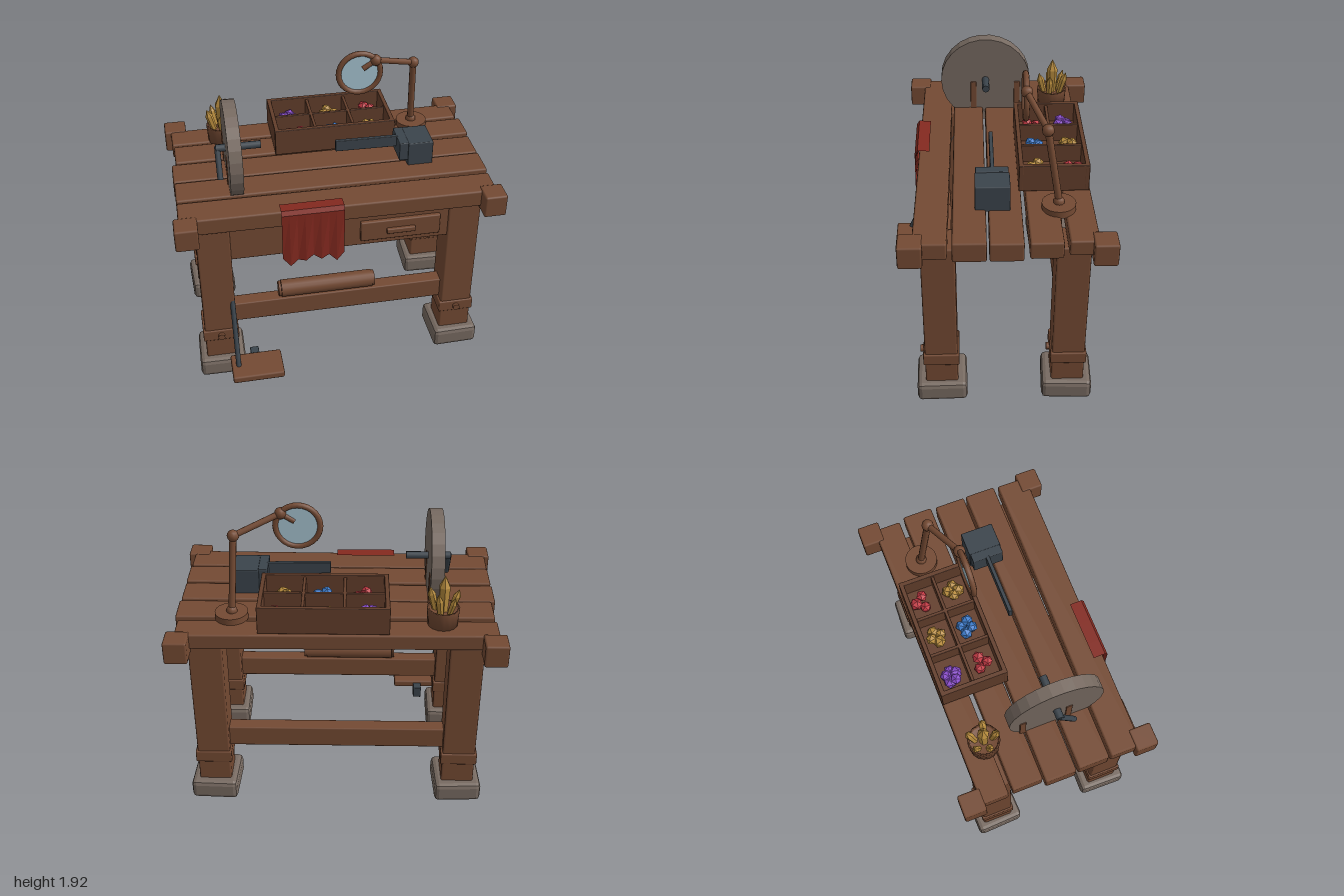
import * as THREE from 'three';
import { RoundedBoxGeometry } from 'three/addons/geometries/RoundedBoxGeometry.js';

const mat = (name, color) => {
  const m = new THREE.MeshStandardMaterial({ color });
  m.name = name;
  return m;
};

export function createModel() {
  const wood = mat('wood', 0x744a33), darkWood = mat('darkWood', 0x633e2b);
  const stone = mat('stone', 0x776a61), iron = mat('iron', 0x3b444c);
  const cloth = mat('cloth', 0x84291f), gold = mat('gold', 0xb98d3e);
  const glass = mat('glass', 0xa6c3d0), purple = mat('purpleGem', 0x8d4fcf);
  const blue = mat('blueGem', 0x3f7fd0), red = mat('redGem', 0xc33a44);
  cloth.side = THREE.DoubleSide;
  for (const m of [stone, gold, purple, blue, red, cloth]) m.flatShading = true;

  const root = new THREE.Group();
  root.name = 'workbench';
  const add = (name, geo, m, parent = root) => {
    const mesh = new THREE.Mesh(geo, m);
    mesh.name = name;
    parent.add(mesh);
    return mesh;
  };
  // Bevelled box given by its limits on each axis
  const box = (name, m, [x0, x1], [y0, y1], [z0, z1], r = 0.008, parent = root) => {
    const mesh = add(name, new RoundedBoxGeometry(x1 - x0, y1 - y0, z1 - z0, 1, r), m, parent);
    mesh.position.set((x0 + x1) / 2, (y0 + y1) / 2, (z0 + z1) / 2);
    return mesh;
  };
  // Round bar between two points
  const rod = (name, m, a, b, r, sides = 10, parent = root) => {
    const p = new THREE.Vector3(...a), q = new THREE.Vector3(...b), d = q.clone().sub(p);
    const mesh = add(name, new THREE.CylinderGeometry(r, r, d.length(), sides), m, parent);
    mesh.position.copy(p).add(q).multiplyScalar(0.5);
    mesh.quaternion.setFromUnitVectors(new THREE.Vector3(0, 1, 0), d.normalize());
    return mesh;
  };
  const ball = (name, m, p, r) => {
    add(name, new THREE.SphereGeometry(r, 10, 8), m).position.set(...p);
  };

  // Table top: five uneven planks [x0, x1, y0, y1, z0, z1, twist]
  [[-0.96, 0.95, 1.15, 1.25, -0.58, -0.41, 0.01],
   [-0.95, 0.97, 1.145, 1.255, -0.38, -0.19, 0.008],
   [-0.975, 0.965, 1.125, 1.25, -0.17, 0.025, -0.003],
   [-0.97, 0.965, 1.125, 1.255, 0.04, 0.235, -0.002],
   [-0.97, 0.96, 1.14, 1.25, 0.255, 0.45, -0.01]].forEach(([a, b, c, d, e, f, t]) => {
    box('plank', wood, [a, b], [c, d], [e, f], 0.012).rotation.y = t;
  });
  // Corner blocks, legs, bands, pegs and stone feet
  for (const s of [-1, 1]) {
    const xs = (a, b) => (s > 0 ? [a, b] : [-b, -a]);
    for (const [corner, z] of [[0.47, 0.32], [-0.62, -0.455]]) {
      box('cornerBlock', wood, xs(0.86, 1), [1.11, 1.255], [corner - 0.07, corner + 0.07], 0.012);
      box('leg', wood, xs(0.675, 0.88), [0.12, 1.15], [z - 0.1, z + 0.1], 0.012);
      box('legBand', wood, xs(0.663, 0.892), [0.27, 0.352], [z - 0.11, z + 0.11], 0.008);
      rod('peg', wood, [s * 0.777, 0.31, z + 0.1], [s * 0.777, 0.31, z + 0.13], 0.022);
      const foot = box('foot', stone, xs(0.63, 0.925), [0, 0.13], [z - 0.155, z + 0.155], 0.028);
      foot.rotation.y = s * (z > 0 ? 0.02 : -0.04);
    }
  }

  // Front apron, drawer and stretchers
  box('apron', wood, [-0.69, 0.69], [0.905, 1.14], [0.36, 0.41]);
  box('drawerFront', wood, [0.12, 0.62], [0.95, 1.09], [0.4, 0.435]);
  box('drawerPull', wood, [0.28, 0.46], [1, 1.035], [0.425, 0.455], 0.006);
  for (const z of [0.32, -0.455]) box('stretcher', wood, [-0.7, 0.7], [0.36, 0.5], [z - 0.045, z + 0.045]);
  // Leather roll lying on the front stretcher
  rod('roll', wood, [-0.37, 0.55, 0.32], [0.22, 0.55, 0.32], 0.056, 18);
  for (const x of [-0.38, 0.228]) rod('rollEnd', wood, [x - 0.008, 0.55, 0.32], [x + 0.008, 0.55, 0.32], 0.05, 18);

  // Cloth draped over the front edge with a ragged hem
  const hem = [0.92, 0.865, 0.9, 0.895, 0.925, 0.895, 0.915, 0.87, 0.92];
  const clothGeo = new THREE.PlaneGeometry(0.38, 1, 8, 3);
  const cp = clothGeo.attributes.position;
  for (let i = 0; i < cp.count; i++) {
    const col = i % 9, row = Math.floor(i / 9), wave = col % 2 ? 0.008 : -0.004;
    cp.setXYZ(i, cp.getX(i) - 0.18,
      [1.262, 1.266, 1.24, hem[col]][row],
      [0.385, 0.46, 0.478, 0.478 + wave][row]);
  }
  clothGeo.computeVertexNormals();
  add('cloth', clothGeo, cloth);

  // Grindstone with axle, crank and side posts
  rod('grindstone', stone, [-0.642, 1.46, 0.02], [-0.562, 1.46, 0.02], 0.295, 26);
  rod('axle', iron, [-0.7, 1.465, 0.02], [-0.425, 1.465, 0.02], 0.024, 8);
  rod('crankArm', iron, [-0.69, 1.475, 0.015], [-0.69, 1.3, 0.12], 0.018, 8);
  for (const z of [-0.19, 0.1]) box('grindstonePost', wood, [-0.648, -0.556], [1.24, 1.45], [z - 0.02, z + 0.02], 0.004);

  // Treadle: foot board, hinge block and connecting rod
  box('treadle', wood, [-0.735, -0.408], [0.12, 0.17], [0.475, 0.685], 0.012);
  box('treadleHinge', iron, [-0.6, -0.545], [0.075, 0.155], [0.41, 0.49], 0.004);
  rod('treadleRod', iron, [-0.69, 0.16, 0.58], [-0.69, 1.14, 0.17], 0.016, 8);

  // Vise block and its long flat bar
  box('viseBody', iron, [0.485, 0.645], [1.24, 1.41], [-0.1, 0.105], 0.006);
  box('viseJaw', iron, [0.43, 0.49], [1.29, 1.415], [-0.095, 0.1], 0.006);
  box('viseBar', iron, [0.042, 0.44], [1.345, 1.42], [-0.012, 0.012], 0.004).rotation.z = -0.015;

  // Sorting tray with six compartments
  const tray = new THREE.Group();
  tray.name = 'sortingTray';
  root.add(tray);
  box('trayFloor', darkWood, [-0.3, 0.445], [1.25, 1.3], [-0.56, -0.17], 0.004, tray);
  for (const z of [-0.56, -0.17]) box('trayLongWall', darkWood, [-0.315, 0.46], [1.255, 1.43], [z - 0.014, z + 0.014], 0.005, tray);
  for (const x of [-0.3, 0.445]) box('trayShortWall', darkWood, [x - 0.014, x + 0.014], [1.255, 1.43], [-0.57, -0.16], 0.005, tray);
  for (const x of [-0.05, 0.195]) box('trayDivider', darkWood, [x - 0.01, x + 0.01], [1.28, 1.415], [-0.56, -0.17], 0.004, tray);
  box('trayDivider', darkWood, [-0.3, 0.445], [1.28, 1.415], [-0.375, -0.355], 0.004, tray);

  // Clusters of faceted gems: [material, x, z, count, elongated]
  [[purple, -0.185, -0.47, 5], [gold, 0.085, -0.47, 4], [red, 0.33, -0.48, 3],
   [red, -0.17, -0.27, 3], [blue, 0.08, -0.275, 4], [gold, 0.335, -0.27, 4]].forEach(([m, x, z, n], k) => {
    for (let i = 0; i < n; i++) {
      const a = k * 1.3 + (i / n) * Math.PI * 2;
      const gem = add('gem', new THREE.IcosahedronGeometry(0.036 + 0.004 * (i % 2), 0), m, tray);
      gem.position.set(x + Math.cos(a) * 0.038, 1.325 + 0.012 * (i % 3), z + Math.sin(a) * 0.032);
      gem.rotation.set(a, a * 2.1, i);
    }
  });

  // Pot of standing crystals
  const pot = new THREE.Group();
  pot.name = 'crystalPot';
  pot.position.set(-0.63, 1.245, -0.43);
  root.add(pot);
  const potProfile = [[0, 0], [0.09, 0], [0.098, 0.115], [0.085, 0.115], [0.083, 0.095], [0, 0.095]];
  add('pot', new THREE.LatheGeometry(potProfile.map(p => new THREE.Vector2(...p)), 16), wood, pot);
  const crystalProfile = [[0, 0], [0.022, 0], [0.03, 0.7], [0, 1]];
  [[0, 0, 0.25, 0, 1.2], [0.045, 0.02, 0.17, -0.25, 0.8], [-0.045, 0.015, 0.16, 0.3, 0.8],
   [0.02, -0.045, 0.18, -0.12, 0.8], [-0.03, -0.04, 0.15, 0.2, 0.7], [0, 0.05, 0.15, 0.05, 0.8]]
    .forEach(([x, z, h, tilt, w]) => {
      const pts = crystalProfile.map(([r, y]) => new THREE.Vector2(r * w, y * h));
      const c = add('crystal', new THREE.LatheGeometry(pts, 6), gold, pot);
      c.position.set(x, 0.08, z);
      c.rotation.set(z * 5, x * 9, tilt);
    });

  // Magnifier: base, jointed arm, ring and lens
  const foot = [0.625, 1.27, -0.385], elbow = [0.6, 1.755, -0.305];
  const wrist = [0.33, 1.85, -0.2], lens = [0.23, 1.77, -0.2];
  rod('magnifierBase', wood, [0.628, 1.245, -0.38], [0.628, 1.29, -0.38], 0.1, 20);
  rod('lowerArm', wood, foot, elbow, 0.021);
  rod('upperArm', wood, elbow, wrist, 0.019);
  rod('lensStem', wood, wrist, [0.25, 1.8, -0.195], 0.018);
  ball('armFootJoint', wood, [0.625, 1.295, -0.38], 0.034);
  ball('elbowJoint', wood, elbow, 0.036);
  ball('wristJoint', wood, wrist, 0.036);
  add('lensRing', new THREE.TorusGeometry(0.132, 0.018, 8, 28), wood).position.set(...lens);
  rod('lens', glass, [0.23, 1.77, -0.204], [0.23, 1.77, -0.196], 0.125, 28);

  return root;
}
